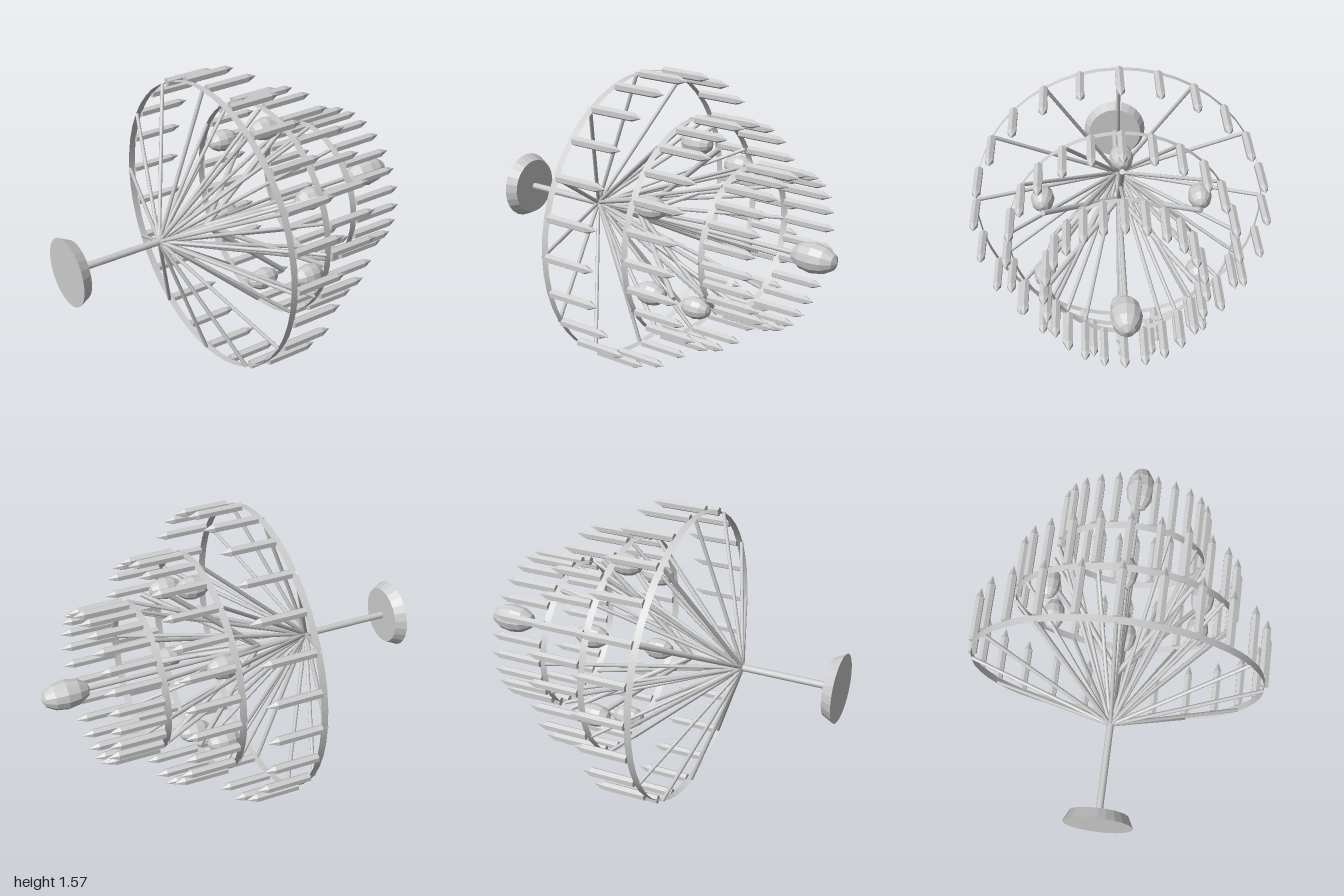
import * as THREE from 'three';

export function createModel() {
  const model = new THREE.Group();
  const axis = new THREE.Group(); // everything is arranged around the x axis
  axis.name = 'fixture';
  axis.position.y = 0.787;
  model.add(axis);

  const smooth = new THREE.MeshStandardMaterial({ color: 0xcccccc });
  const flat = new THREE.MeshStandardMaterial({ color: 0xcccccc, flatShading: true });
  const thin = new THREE.MeshStandardMaterial({ color: 0xcccccc, side: THREE.DoubleSide });
  const hubX = -0.48;

  function add(name, geometry, material, parent = axis) {
    const mesh = new THREE.Mesh(geometry, material);
    mesh.name = name;
    parent.add(mesh);
    return mesh;
  }

  // point at distance r from the x axis
  const polar = (x, r, a) => new THREE.Vector3(x, r * Math.cos(a), r * Math.sin(a));

  // cylinder lying along x, from x0 to x1
  function along(x0, x1, r0, r1, sides, open = false) {
    return new THREE.CylinderGeometry(r1, r0, x1 - x0, sides, 1, open, Math.PI / 2)
      .rotateZ(-Math.PI / 2).translate((x0 + x1) / 2, 0, 0);
  }

  // straight rod between two points
  function rod(name, from, to, radius, parent) {
    const dir = to.clone().sub(from);
    const mesh = add(name, new THREE.CylinderGeometry(radius, radius, dir.length(), 8), smooth, parent);
    mesh.position.copy(from).add(to).multiplyScalar(0.5);
    mesh.quaternion.setFromUnitVectors(new THREE.Vector3(0, 1, 0), dir.normalize());
  }

  // faceted ellipsoid with its long axis along x
  function bulb(name, center, half, radius, parent) {
    const geometry = new THREE.SphereGeometry(1, 12, 6).rotateZ(-Math.PI / 2).scale(half, radius, radius);
    add(name, geometry, flat, parent).position.copy(center);
  }

  // mounting plate and central stem
  add('mountingPlate', along(-1, -0.944, 0.178, 0.15, 24), flat);
  add('stem', along(-0.95, hubX, 0.018, 0.018, 12), smooth);
  add('innerStem', along(hubX, 0.8, 0.012, 0.012, 12), smooth);
  bulb('centralBulb', new THREE.Vector3(0.863, 0, 0), 0.128, 0.077, axis);

  // three tiers: thin hoop, twelve spokes and twenty-four candles
  const candleBody = along(0, 0.235, 0.024, 0.024, 6);
  const candleTip = along(0.235, 0.29, 0.024, 0, 6);
  const tiers = [[-0.214, 0.762], [0.129, 0.578], [0.445, 0.386]];
  tiers.forEach(([x, radius], i) => {
    const tier = new THREE.Group();
    tier.name = `tier${i + 1}`;
    axis.add(tier);
    add('hoop', along(x, x + 0.037, radius, radius, 48, true), thin, tier);
    for (let k = 0; k < 12; k++) {
      rod('spoke', new THREE.Vector3(hubX, 0, 0), polar(x + 0.008, radius, k * Math.PI / 6), 0.01, tier);
    }
    for (let k = 0; k < 24; k++) {
      const candle = new THREE.Group();
      candle.name = 'candle';
      candle.position.copy(polar(x + 0.033, radius, k * Math.PI / 12));
      add('candleBody', candleBody, flat, candle);
      add('candleTip', candleTip, flat, candle);
      tier.add(candle);
    }
  });

  // six inner bulbs and their slanting arms
  const bulbs = new THREE.Group();
  bulbs.name = 'innerBulbs';
  axis.add(bulbs);
  for (let k = 0; k < 6; k++) {
    const a = k * Math.PI / 3;
    rod('bulbArm', new THREE.Vector3(-0.2, 0, 0), polar(0.305, 0.45, a), 0.014, bulbs);
    bulb('innerBulb', polar(0.17, 0.455, a), 0.09, 0.06, bulbs);
  }

  return model;
}
